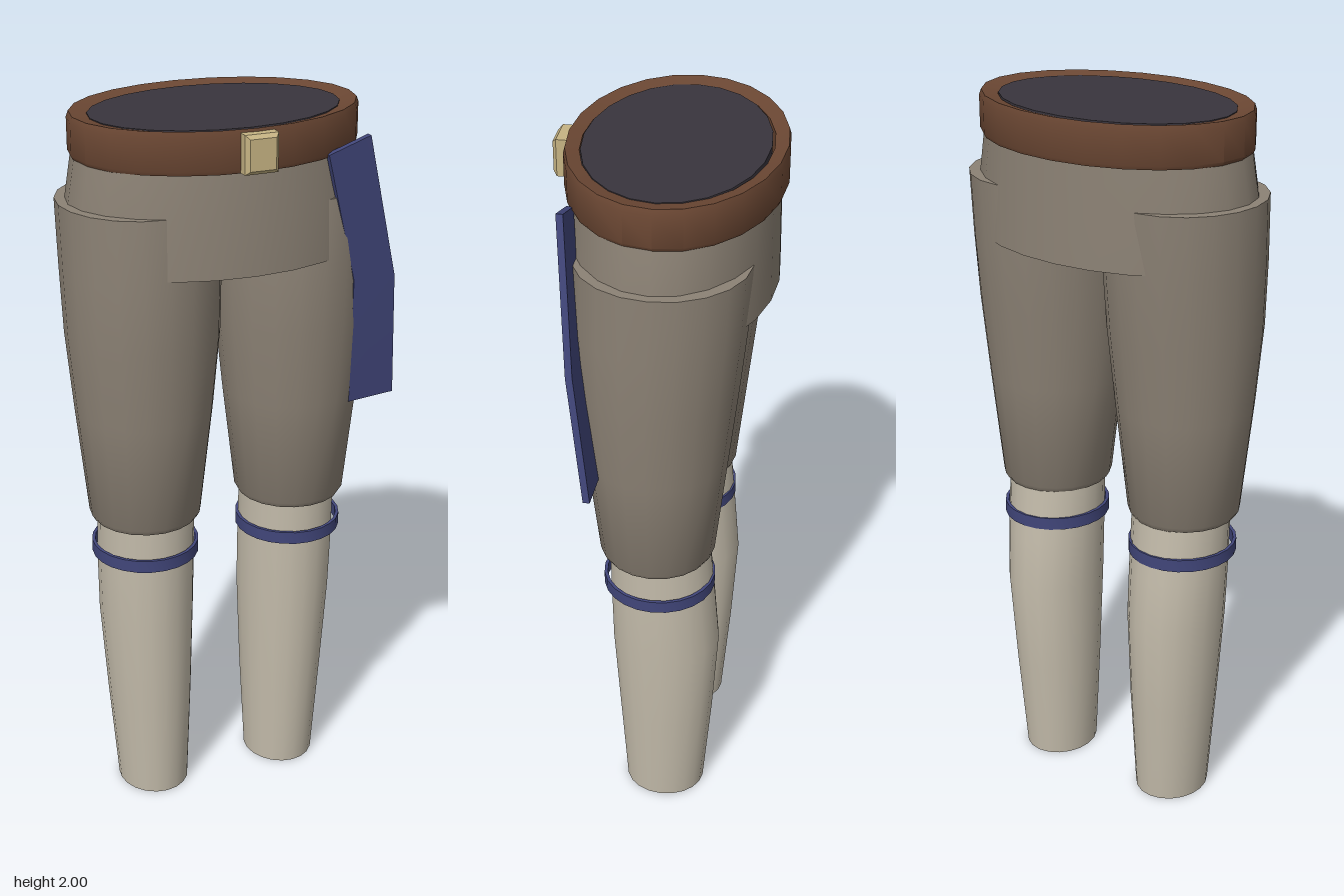
import * as THREE from 'three';
import { toCreasedNormals, mergeVertices } from 'three/addons/utils/BufferGeometryUtils.js';

const mat = (color, side = THREE.FrontSide) => new THREE.MeshStandardMaterial({ color, side });
const CX = -0.02, CZ = -0.015; // body axis

// Capped elliptical tube through rows of [y, centreX, centreZ, radiusX, radiusZ], top to bottom
function loft(rows, sides) {
  const n = rows.length - 1;
  const geo = new THREE.CylinderGeometry(1, 1, n, sides, n);
  const p = geo.attributes.position;
  for (let i = 0; i < p.count; i++) {
    const [y, cx, cz, rx, rz] = rows[Math.round(n / 2 - p.getY(i))];
    p.setXYZ(i, cx + p.getX(i) * rx, y, cz + p.getZ(i) * rz);
  }
  return toCreasedNormals(geo, 0.7);
}

// Elliptical ring from a [radius, y] profile
function ring(profile, sides, rx, rz, cx, cz) {
  const geo = new THREE.LatheGeometry(profile.map(([r, y]) => new THREE.Vector2(r, y)), sides);
  geo.scale(rx, 1, rz).translate(cx, 0, cz);
  return toCreasedNormals(geo, 0.6);
}

export function createModel() {
  const model = new THREE.Group();
  model.name = 'trousers';
  const add = (name, geo, material, parent = model) => {
    const mesh = new THREE.Mesh(geo, material);
    mesh.name = name;
    parent.add(mesh);
    return mesh;
  };
  const cloth = mat(0x8c8275), sock = mat(0xc4bcab), leather = mat(0x6b4733);
  const blue = mat(0x41467a, THREE.DoubleSide), brass = mat(0xc6b383), dark = mat(0x39353d);

  // Hips
  add('hips', loft([
    [1.92, CX, CZ, 0.38, 0.262],
    [1.78, CX, -0.012, 0.405, 0.268],
    [1.62, CX, -0.01, 0.41, 0.272],
  ], 24), cloth);

  // Belt with waist opening cover and buckle
  add('belt', ring([
    [0.86, 1.89], [0.985, 1.89], [1, 1.9], [1, 1.985], [0.985, 2], [0.86, 1.99], [0.86, 1.89],
  ], 24, 0.39, 0.28, CX, -0.017), leather);
  add('waistCover', loft([
    [1.993, CX, CZ, 0.338, 0.236],
    [1.92, CX, CZ, 0.338, 0.236],
  ], 24), dark);
  const plate = new THREE.Shape([[-1, -1], [1, -1], [1, 1], [-1, 1]]
    .map(([x, y]) => new THREE.Vector2(x * 0.035, y * 0.04)));
  const buckle = new THREE.ExtrudeGeometry(plate, {
    depth: 0.03, bevelThickness: 0.01, bevelSize: 0.01, bevelSegments: 1,
  });
  add('buckle', buckle.translate(CX, 1.942, 0.254), brass);

  // Legs, mirrored about the body axis
  for (const s of [-1, 1]) {
    const leg = new THREE.Group();
    leg.name = s > 0 ? 'leftLeg' : 'rightLeg';
    model.add(leg);
    const at = (offset) => CX + s * offset;

    add('trouserLeg', loft([
      [1.78, at(0.217), -0.014, 0.213, 0.225],
      [1.6, at(0.215), -0.006, 0.212, 0.224],
      [1.42, at(0.215), 0, 0.207, 0.212],
      [1.2, at(0.216), 0.002, 0.187, 0.19],
      [0.895, at(0.218), 0.002, 0.154, 0.157],
      [0.88, at(0.218), 0.002, 0.145, 0.148],
    ], 20), cloth, leg);

    add('shin', loft([
      [0.9, at(0.214), -0.004, 0.135, 0.139],
      [0.72, at(0.214), -0.013, 0.134, 0.146],
      [0.57, at(0.213), -0.02, 0.131, 0.151],
      [0.3, at(0.208), -0.019, 0.118, 0.135],
      [0, at(0.203), -0.015, 0.1, 0.114],
    ], 20), sock, leg);

    add('kneeBand', ring([
      [0.94, 0.765], [1, 0.765], [1, 0.8], [0.94, 0.8], [0.94, 0.765],
    ], 24, 0.148, 0.154, at(0.218), -0.003), blue, leg);
  }

  // Hanging sash end: [left x, left y, right x, right y, z] from top to bottom
  const rows = [
    [0.193, 1.9, 0.31, 1.94, 0.215],
    [0.29, 1.545, 0.41, 1.545, 0.185],
    [0.305, 1.18, 0.44, 1.19, 0.145],
  ];
  const sash = mergeVertices(new THREE.BoxGeometry(1, 2, 0.018, 1, 2, 1));
  const p = sash.attributes.position;
  for (let i = 0; i < p.count; i++) {
    const [lx, ly, rx, ry, z] = rows[Math.round(1 - p.getY(i))];
    const right = p.getX(i) > 0;
    p.setXYZ(i, right ? rx : lx, right ? ry : ly, z + p.getZ(i));
  }
  add('sash', toCreasedNormals(sash, 0.5), blue);

  return model;
}
